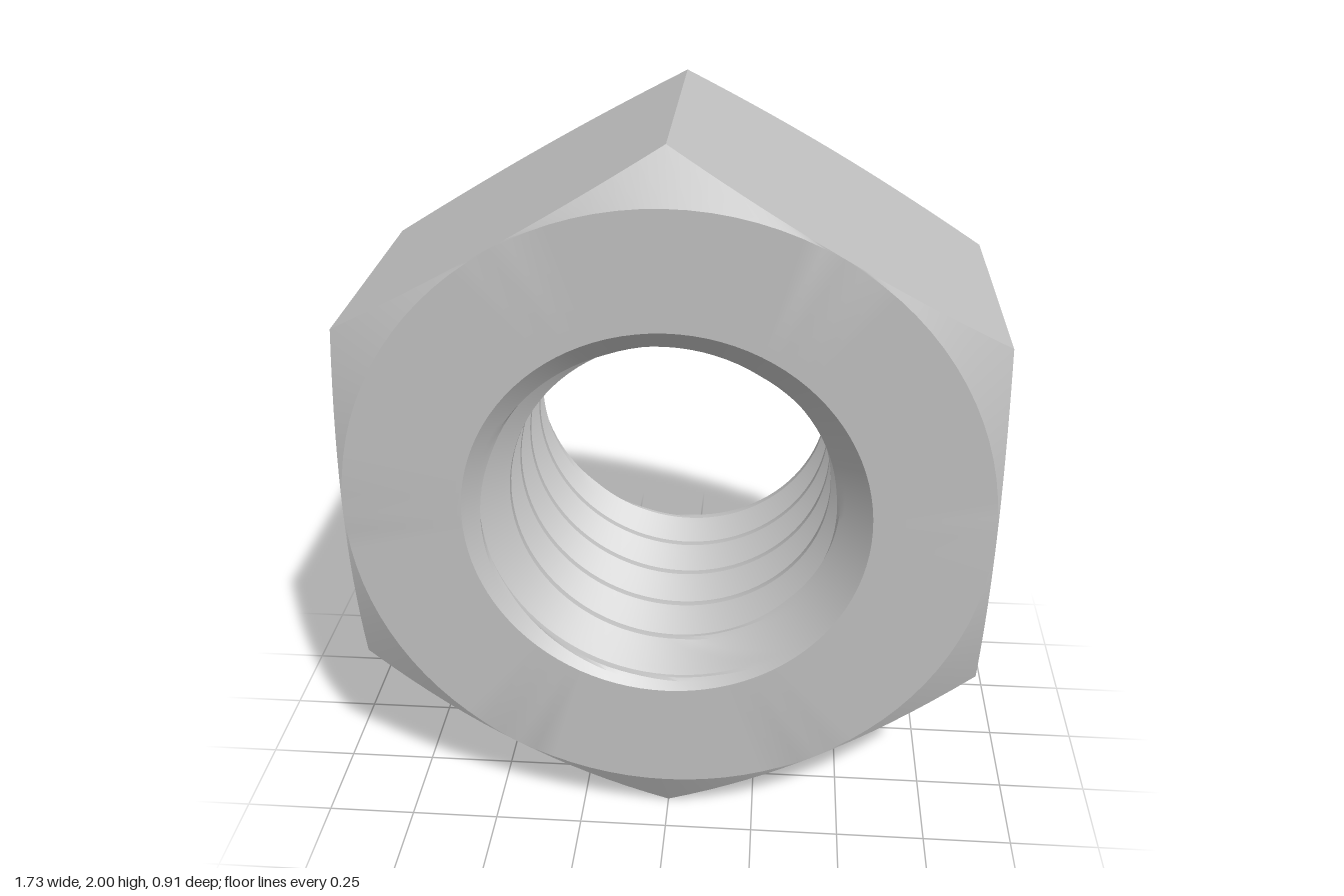
import * as THREE from 'three';
import { toCreasedNormals } from 'three/addons/utils/BufferGeometryUtils.js';

const SIDES = 96;          // steps around the axis, 16 per hexagon side
const HALF = 0.455;        // half thickness
const FLAT = 0.866;        // centre to flat
const MOUTH = 0.545;       // hole radius at the faces
const CREST = 0.44, ROOT = 0.52, PITCH = 0.17;

// Surface wound around the z axis; point(row, i) gives [radius, z]
function wound(rows, point) {
  const pos = [], index = [], w = SIDES + 1;
  for (let j = 0; j < rows; j++) {
    for (let i = 0; i <= SIDES; i++) {
      const a = Math.PI / 6 + ((i % SIDES) / SIDES) * Math.PI * 2;
      const [r, z] = point(j, i);
      pos.push(r * Math.cos(a), r * Math.sin(a), z);
      if (j === rows - 1 || i === SIDES) continue;
      // leave out quads squeezed flat against a face
      const zs = [point(j, i)[1], point(j, i + 1)[1], point(j + 1, i)[1], point(j + 1, i + 1)[1]];
      const rs = [r, point(j + 1, i)[0]];
      if (Math.max(...zs) - Math.min(...zs) < 1e-6 && Math.abs(rs[0] - rs[1]) < 1e-6) continue;
      const p = j * w + i, q = p + w;
      index.push(p, q, q + 1, p, q + 1, p + 1);
    }
  }
  const g = new THREE.BufferGeometry();
  g.setAttribute('position', new THREE.Float32BufferAttribute(pos, 3));
  g.setIndex(index);
  return toCreasedNormals(g, 0.35);
}

// Hexagonal outside with both faces and their conical corner chamfers
function bodyGeometry() {
  return wound(6, (j, i) => {
    const across = ((i % 16) / 16 - 0.5) * Math.PI / 3;
    const r = FLAT / Math.cos(across);
    const edge = HALF - (r - FLAT) * 0.53;
    const start = FLAT - 0.002;
    return [[MOUTH, HALF], [start, HALF], [r, edge], [r, -edge], [start, -HALF], [MOUTH, -HALF]][j];
  });
}

// Helical thread, cut back by a countersink at each end
function threadGeometry() {
  const n = 16, turns = Math.ceil((2 * HALF) / PITCH) + 1;
  return wound(n * turns + 1, (j, i) => {
    const z = THREE.MathUtils.clamp(-HALF + PITCH * (j / n - 1 + i / SIDES), -HALF, HALF);
    const t = Math.abs((j % n) / n - 0.5) * 2;
    const rise = THREE.MathUtils.clamp((t - 0.12) / 0.76, 0, 1);
    const thread = ROOT + (CREST - ROOT) * rise;
    return [Math.max(thread, MOUTH - (HALF - Math.abs(z))), z];
  });
}

export function createModel() {
  const steel = new THREE.MeshStandardMaterial({ color: 0xc0c0c0 });
  steel.name = 'steel grey';
  const nut = new THREE.Group();
  nut.name = 'hexNut';
  for (const [name, geometry] of [['hexBody', bodyGeometry()], ['threadedHole', threadGeometry()]]) {
    const mesh = new THREE.Mesh(geometry, steel);
    mesh.name = name;
    mesh.position.y = 1;
    nut.add(mesh);
  }
  return nut;
}
